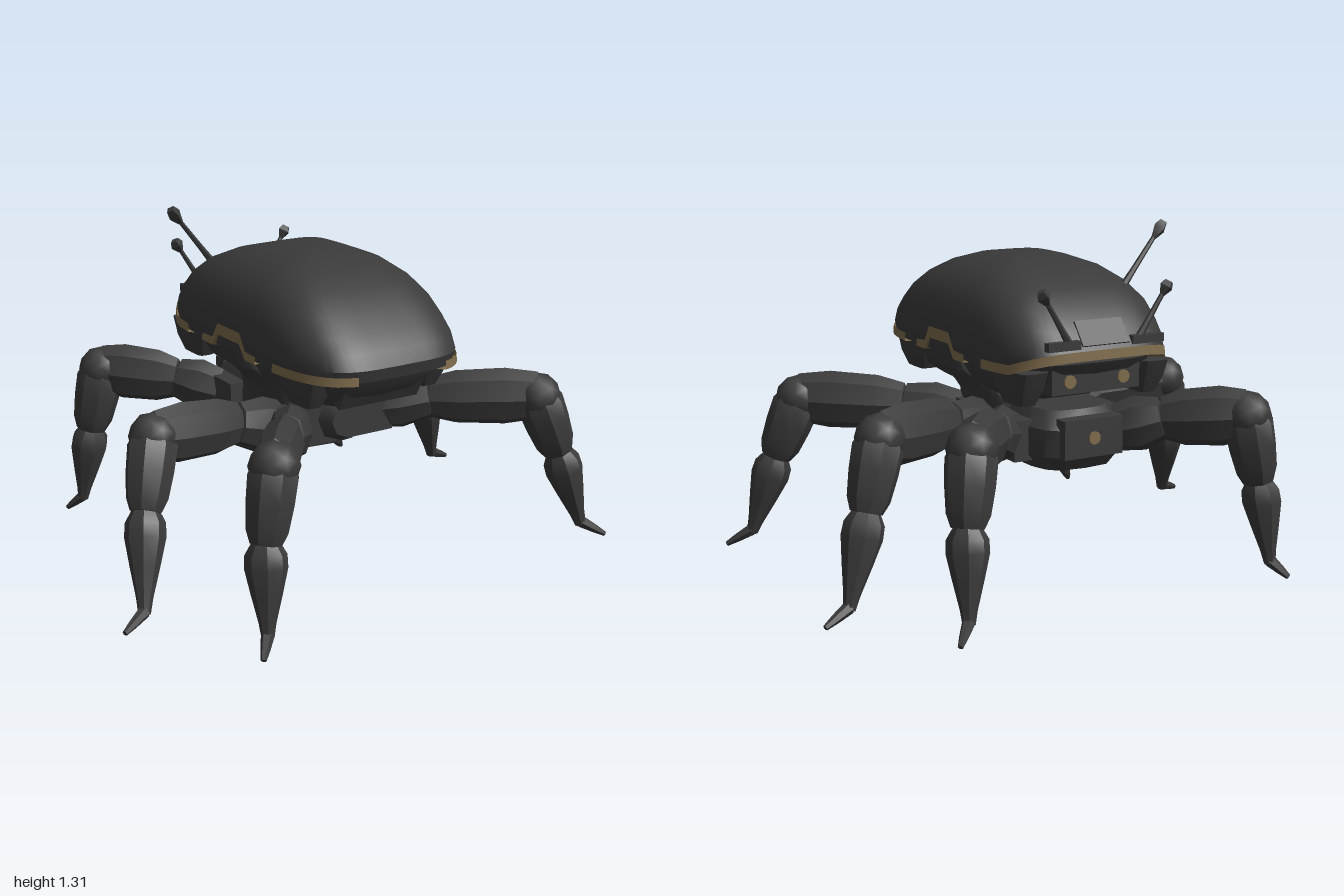
import * as THREE from 'three';
import { toCreasedNormals } from 'three/addons/utils/BufferGeometryUtils.js';

const dark = new THREE.MeshStandardMaterial({ color: 0x3a3a3a });
dark.name = 'charcoal armour';
const gold = new THREE.MeshStandardMaterial({ color: 0x7f6c4c, side: THREE.DoubleSide });
gold.name = 'dull gold trim';

const V = (x, y, z) => new THREE.Vector3(x, y, z);
const UP = V(0, 1, 0);

function add(parent, name, geometry, material = dark) {
  const mesh = new THREE.Mesh(geometry, material);
  mesh.name = name;
  parent.add(mesh);
  return mesh;
}

function box(parent, name, size, pos, rx = 0) {
  const mesh = add(parent, name, new THREE.BoxGeometry(...size));
  mesh.position.set(...pos);
  mesh.rotation.x = rx;
  return mesh;
}

// The rim kicks up at the very back
const rimLift = z => 0.05 * Math.max(0, -z - 0.47) / 0.14;

// Stack of rounded-rectangle rings, each [y, half width, half depth, z offset]
function loft(rings, power = 4, sides = 56, lift = () => 0) {
  const pos = [], index = [];
  for (const [y, a, b, oz = 0] of rings) {
    for (let j = 0; j < sides; j++) {
      const t = (j / sides) * Math.PI * 2, c = Math.cos(t), s = Math.sin(t);
      const x = a * Math.sign(c) * Math.abs(c) ** (2 / power);
      const z = b * Math.sign(s) * Math.abs(s) ** (2 / power) + oz;
      pos.push(x, y + lift(y, z), z);
    }
  }
  for (let i = 0; i < rings.length - 1; i++) {
    for (let j = 0; j < sides; j++) {
      const k = (j + 1) % sides;
      const p = i * sides + j, q = i * sides + k, r = p + sides, u = q + sides;
      index.push(p, r, q, q, r, u);
    }
  }
  const g = new THREE.BufferGeometry();
  g.setAttribute('position', new THREE.Float32BufferAttribute(pos, 3));
  g.setIndex(index);
  return toCreasedNormals(g, 0.6);
}

// Turned segment from a to b; profile is a list of [fraction along, radius],
// width squeezes it sideways
function segment(parent, name, a, b, profile, sides = 8, width = 1) {
  const dir = b.clone().sub(a), len = dir.length();
  dir.normalize();
  const pts = profile.map(([t, r]) => new THREE.Vector2(r, t * len));
  const g = new THREE.LatheGeometry(pts, sides).scale(1, 1, width);
  const across = dir.clone().cross(UP).normalize();
  g.applyMatrix4(new THREE.Matrix4().makeBasis(dir.clone().cross(across), dir, across));
  add(parent, name, toCreasedNormals(g, 0.5)).position.copy(a);
}

// Trim band on the rim with a lip underneath; stations are [z, bottom y, height]
function trim(parent, side, stations) {
  const pos = [], index = [];
  stations.forEach(([z, y, h], i) => {
    const x = side * 0.354 * Math.max(0, 1 - (Math.abs(z) / 0.614) ** 4) ** 0.25;
    const y0 = y + rimLift(z);
    pos.push(x, y0 + h, z, x * 1.006, y0, z * 1.004, x * 0.86, y0 - 0.003, z * 0.92);
    if (i) for (const k of [0, 1]) {
      const p = (i - 1) * 3 + k, q = i * 3 + k;
      index.push(p, p + 1, q, q, p + 1, q + 1);
    }
  });
  const g = new THREE.BufferGeometry();
  g.setAttribute('position', new THREE.Float32BufferAttribute(pos, 3));
  g.setIndex(index);
  add(parent, 'rimTrim', toCreasedNormals(g, 0.5), gold);
}

function leg(parent, name, hip, knee, ankle, foot, tip) {
  const g = new THREE.Group();
  g.name = name;
  parent.add(g);
  const [h, k, a, f, t] = [hip, knee, ankle, foot, tip].map(p => V(...p));
  const mid = h.clone().lerp(k, 0.35).add(V(0, 0.02, 0));
  segment(g, 'hipJoint', h, mid, [[-0.1, 0], [0, 0.09], [0.5, 0.105], [1, 0.08], [1.1, 0]], 8, 0.8);
  segment(g, 'thigh', mid, k, [[-0.05, 0], [0, 0.08], [0.25, 0.105], [0.7, 0.112], [1, 0.095], [1.15, 0]], 8, 0.7);
  const joint = add(g, 'knee', new THREE.IcosahedronGeometry(0.09, 1));
  joint.position.copy(k);
  segment(g, 'shin', k, a, [[-0.25, 0], [-0.12, 0.06], [0.12, 0.092], [0.45, 0.088], [0.8, 0.077], [0.97, 0.058], [1, 0]]);
  const top = a.clone().lerp(f, -0.06);
  segment(g, 'claw', top, f, [[0, 0], [0, 0.045], [0.14, 0.072], [0.28, 0.074], [0.55, 0.054], [0.85, 0.03], [1, 0.022], [1.03, 0]]);
  segment(g, 'toe', f.clone().add(V(0, 0.01, 0)), t, [[-0.15, 0], [0, 0.024], [0.6, 0.017], [1, 0.01], [1, 0]], 6);
}

function antenna(parent, base, tip) {
  const g = new THREE.Group();
  g.name = 'antenna';
  parent.add(g);
  const a = V(...base), b = V(...tip);
  segment(g, 'mast', a, b, [[0, 0], [0, 0.016], [0.35, 0.011], [0.9, 0.008], [0.9, 0]], 6);
  segment(g, 'sensorHead', a.clone().lerp(b, 0.78), b, [[0, 0], [0, 0.01], [0.6, 0.027], [1, 0.018], [1, 0]], 4);
}

export function createModel() {
  const model = new THREE.Group();
  model.name = 'walker';

  // Domed shell
  add(model, 'shell', loft([
    [0.825, 0, 0], [0.825, 0.343, 0.598], [0.87, 0.35, 0.61], [0.92, 0.35, 0.585, -0.005],
    [0.97, 0.343, 0.54, -0.012], [1.03, 0.326, 0.475, -0.018], [1.09, 0.286, 0.385, -0.02],
    [1.14, 0.222, 0.27, -0.015], [1.172, 0.135, 0.155, -0.01], [1.185, 0, 0],
  ], 4, 64, (y, z) => y < 0.9 ? rimLift(z) * (0.9 - y) / 0.08 : 0));

  // Underside of the shell with tapered pods at the corners
  add(model, 'belly', loft([
    [0.685, 0, 0, 0.04], [0.685, 0.2, 0.38, 0.05], [0.73, 0.27, 0.47, 0.01],
    [0.79, 0.3, 0.53, 0.01], [0.85, 0.315, 0.56], [0.85, 0, 0],
  ], 4, 32));
  box(model, 'rearHousing', [0.36, 0.09, 0.1], [0, 0.785, -0.48]);
  box(model, 'chin', [0.34, 0.08, 0.08], [0, 0.745, 0.44], 0.5);
  for (const s of [-1, 1]) for (const z of [0.36, -0.42]) {
    const pod = add(model, 'cornerPod', loft([
      [0.705, 0, 0], [0.705, 0.035, 0.07], [0.76, 0.055, 0.1], [0.83, 0.06, 0.13], [0.83, 0, 0],
    ], 5, 16));
    pod.position.set(s * 0.25, 0, z);
  }

  // Gold rim: front corners, side arches, whole rear edge
  const Y = 0.82;
  for (const s of [-1, 1]) {
    trim(model, s, [0.3, 0.38, 0.45, 0.5, 0.54, 0.57, 0.59, 0.602].map(z => [z, Y, 0.032]));
    trim(model, s, [[0.19, Y, 0.028], [0.12, Y, 0.032], [0.08, 0.87, 0.042], [-0.08, 0.87, 0.042], [-0.12, Y, 0.032], [-0.2, Y, 0.028]]);
    trim(model, s, [-0.32, -0.4, -0.47, -0.51, -0.55, -0.58, -0.6, -0.61, -0.614].map(z => [z, Y, 0.034]));
  }

  // Flared neck that fills the side arches, and the lower chassis
  add(model, 'neck', loft([
    [0.58, 0, 0, -0.02], [0.58, 0.21, 0.2, -0.02], [0.66, 0.22, 0.2, -0.02],
    [0.7, 0.25, 0.18, -0.01], [0.77, 0.325, 0.14], [0.88, 0.35, 0.1], [0.88, 0, 0],
  ], 4, 24));
  add(model, 'chassis', loft([
    [0.445, 0, 0, -0.15], [0.445, 0.16, 0.31, -0.15], [0.5, 0.19, 0.34, -0.16],
    [0.6, 0.19, 0.34, -0.16], [0.66, 0.15, 0.3, -0.14], [0.66, 0, 0, -0.14],
  ], 4, 16));
  box(model, 'rearBlock', [0.24, 0.14, 0.06], [0, 0.57, -0.49]);
  box(model, 'frontBlock', [0.3, 0.16, 0.12], [0, 0.555, 0.15]);
  const snout = add(model, 'snout', new THREE.CylinderGeometry(0.07, 0.1, 0.06, 8));
  snout.rotation.x = Math.PI / 2;
  snout.position.set(0, 0.57, 0.235);
  for (const s of [-1, 1]) for (const z of [0.12, -0.28]) {
    box(model, 'hipMount', [0.12, 0.15, 0.18], [s * 0.18, 0.55, z]);
  }

  // Rear lamps
  for (const [x, y, z] of [[-0.11, 0.785, -0.534], [0.11, 0.785, -0.534], [0, 0.57, -0.523]]) {
    const lamp = add(model, 'lamp', new THREE.CylinderGeometry(0.024, 0.024, 0.008, 10), gold);
    lamp.rotation.x = Math.PI / 2;
    lamp.position.set(x, y, z);
  }

  // Rear hatch and antennas
  box(model, 'rearHatch', [0.19, 0.025, 0.1], [0, 0.952, -0.556], -0.9);
  antenna(model, [-0.19, 1.04, -0.36], [-0.4, 1.3, -0.345]);
  for (const s of [-1, 1]) {
    box(model, 'antennaBracket', [0.13, 0.03, 0.03], [s * 0.17, 0.925, -0.585]);
    antenna(model, [s * 0.13, 0.91, -0.58], [s * 0.26, 1.12, -0.59]);
  }

  // Six legs caught mid-stride: hip, knee, ankle, foot, toe tip
  leg(model, 'rightFrontLeg', [-0.2, 0.55, 0.2], [-0.55, 0.62, 0.645], [-0.61, 0.36, 0.685], [-0.64, 0.06, 0.745], [-0.69, 0.012, 0.8]);
  leg(model, 'rightMiddleLeg', [-0.2, 0.54, 0.1], [-0.73, 0.6, 0.12], [-0.82, 0.36, 0.22], [-0.9, 0.05, 0.35], [-1, 0.025, 0.4]);
  leg(model, 'rightRearLeg', [-0.2, 0.55, -0.36], [-0.56, 0.62, -0.67], [-0.61, 0.36, -0.69], [-0.64, 0.06, -0.73], [-0.69, 0.012, -0.78]);
  leg(model, 'leftFrontLeg', [0.2, 0.55, 0.12], [0.72, 0.6, 0.49], [0.81, 0.36, 0.53], [0.9, 0.06, 0.575], [0.99, 0.012, 0.62]);
  leg(model, 'leftMiddleLeg', [0.2, 0.55, -0.08], [0.73, 0.61, -0.3], [0.81, 0.36, -0.35], [0.9, 0.05, -0.4], [1, 0.015, -0.43]);
  leg(model, 'leftRearLeg', [0.2, 0.55, -0.24], [0.54, 0.62, -0.62], [0.59, 0.36, -0.68], [0.62, 0.06, -0.745], [0.68, 0.012, -0.8]);

  return model;
}
